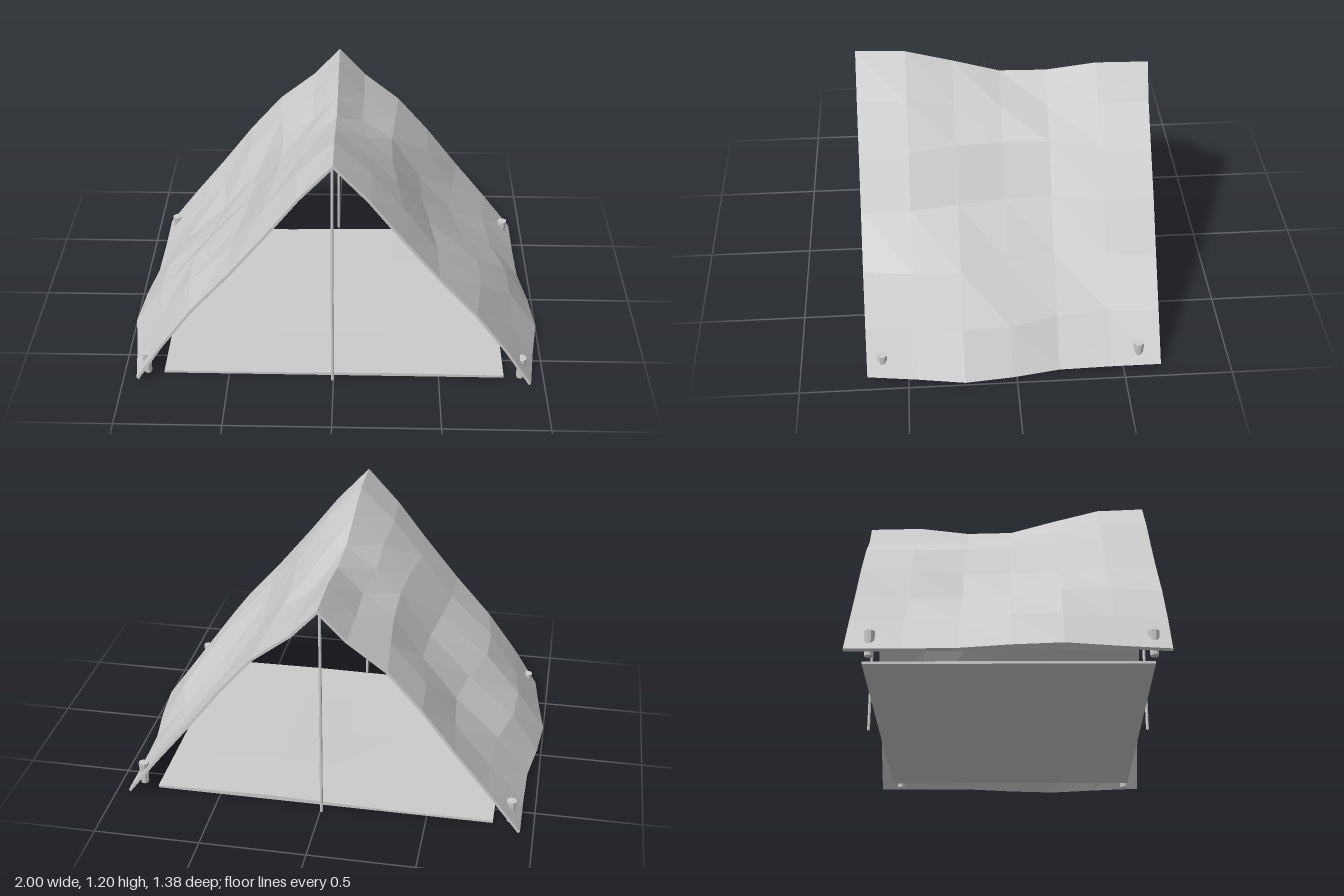
import * as THREE from 'three';

const material = new THREE.MeshStandardMaterial({ color: 0xcccccc, flatShading: true });

// Cross-sections of the canvas from front to back: half-widths and heights, ridge to hem
const HEM_Y = 0.014;
const SECTIONS = [
  { z: 0.69, x: [0, 0.16, 0.31, 0.48, 0.66, 0.81, 0.935], y: [1.2, 1.025, 0.83, 0.62, 0.415, 0.21, HEM_Y] },
  { z: 0.46, x: [0, 0.17, 0.32, 0.48, 0.69, 0.83, 0.965], y: [1.19, 1.02, 0.835, 0.62, 0.415, 0.21, HEM_Y] },
  { z: 0.24, x: [0, 0.15, 0.29, 0.45, 0.69, 0.86, 1.0], y: [1.13, 0.99, 0.845, 0.62, 0.41, 0.21, HEM_Y] },
  { z: 0.02, x: [0, 0.15, 0.27, 0.42, 0.62, 0.85, 0.98], y: [1.065, 0.955, 0.84, 0.62, 0.41, 0.21, HEM_Y] },
  { z: -0.2, x: [0, 0.12, 0.27, 0.41, 0.58, 0.79, 0.945], y: [1.06, 0.935, 0.83, 0.62, 0.41, 0.21, HEM_Y] },
  { z: -0.44, x: [0, 0.13, 0.29, 0.46, 0.6, 0.77, 0.94], y: [1.09, 0.94, 0.815, 0.62, 0.41, 0.21, HEM_Y] },
  { z: -0.675, x: [0, 0.13, 0.31, 0.47, 0.63, 0.79, 0.94], y: [1.085, 0.945, 0.805, 0.62, 0.41, 0.21, HEM_Y] },
];

function canvasGeometry() {
  const rows = SECTIONS.length, cols = 13;
  const positions = [], index = [];
  // Outer layer first, then the inner layer pulled inwards by the cloth thickness
  for (const inner of [0, 1]) {
    SECTIONS.forEach((s, r) => {
      for (let c = 0; c < cols; c++) {
        const k = Math.abs(c - 6), side = Math.sign(c - 6);
        const bow = r === rows - 1 ? Math.max(0, 2 - k) * 0.0075 : 0;
        positions.push(
          side * (s.x[k] - inner * 0.009),
          s.y[k] - inner * (k === 0 ? 0.018 : 0.009),
          s.z - bow
        );
      }
    });
  }
  const at = (layer, r, c) => layer * rows * cols + r * cols + c;
  const quad = (a, b, d, e) => index.push(a, b, d, a, d, e);
  for (let r = 0; r < rows - 1; r++) {
    for (let c = 0; c < cols - 1; c++) {
      quad(at(0, r, c), at(0, r, c + 1), at(0, r + 1, c + 1), at(0, r + 1, c));
      quad(at(1, r, c), at(1, r + 1, c), at(1, r + 1, c + 1), at(1, r, c + 1));
    }
    // Hems along the ground
    quad(at(0, r, 0), at(0, r + 1, 0), at(1, r + 1, 0), at(1, r, 0));
    quad(at(0, r, 12), at(1, r, 12), at(1, r + 1, 12), at(0, r + 1, 12));
  }
  // Front and back edges
  for (let c = 0; c < cols - 1; c++) {
    const b = rows - 1;
    quad(at(0, 0, c), at(1, 0, c), at(1, 0, c + 1), at(0, 0, c + 1));
    quad(at(0, b, c), at(0, b, c + 1), at(1, b, c + 1), at(1, b, c));
  }
  const indexed = new THREE.BufferGeometry();
  indexed.setAttribute('position', new THREE.Float32BufferAttribute(positions, 3));
  indexed.setIndex(index);
  const geometry = indexed.toNonIndexed();
  geometry.computeVertexNormals();
  return geometry;
}

// Thin mat with a slightly rumpled top
function groundSheetGeometry() {
  const box = new THREE.BoxGeometry(1.62, 0.01, 1.24, 6, 1, 4);
  const p = box.attributes.position;
  for (let i = 0; i < p.count; i++) {
    const x = p.getX(i), z = p.getZ(i);
    if (p.getY(i) < 0) {
      p.setY(i, 0);
    } else {
      const rumple = Math.max(0, 1 - Math.abs(x - 0.27) / 0.55) * (0.6 - 0.4 * Math.sin(z * 4));
      p.setY(i, 0.012 + 0.014 * rumple);
    }
    p.setZ(i, z + 0.01);
  }
  const geometry = box.toNonIndexed();
  geometry.computeVertexNormals();
  return geometry;
}

export function createModel() {
  const model = new THREE.Group();
  model.name = 'tent';
  const add = (name, geometry, x = 0, y = 0, z = 0) => {
    const mesh = new THREE.Mesh(geometry, material);
    mesh.name = name;
    mesh.position.set(x, y, z);
    model.add(mesh);
    return mesh;
  };

  add('canvas', canvasGeometry());
  add('groundSheet', groundSheetGeometry());

  // Upright poles under both ends of the ridge
  for (const [name, z, height] of [['frontPole', 0.665, 1.185], ['backPole', -0.66, 1.075]]) {
    add(name, new THREE.CylinderGeometry(0.007, 0.007, height, 8), -0.005, height / 2, z);
  }

  // Pegs through the four corners of the hem
  for (const side of [-1, 1]) {
    for (const [end, z] of [['front', 0.617], ['back', -0.573]]) {
      const peg = add(`${end}${side > 0 ? 'Left' : 'Right'}Peg`,
        new THREE.CylinderGeometry(0.025, 0.019, 0.112, 8), side * 0.89, 0.056, z);
      peg.rotation.y = Math.PI / 8;
    }
  }
  return model;
}
